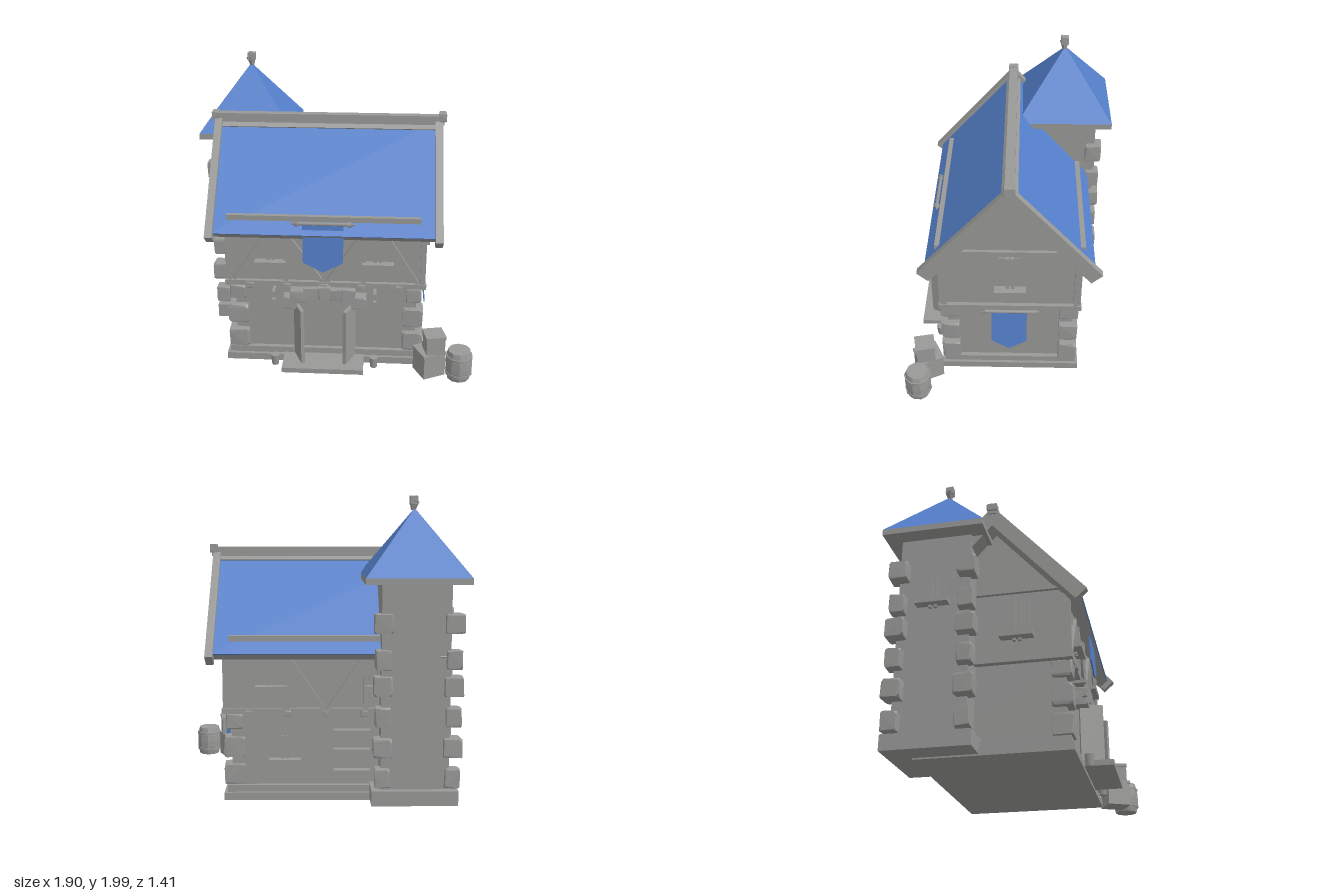
import * as THREE from 'three';
import { ConvexGeometry } from 'three/addons/geometries/ConvexGeometry.js';

export function createModel() {
  const root = new THREE.Group();
  root.name = 'house';
  const grey = new THREE.MeshStandardMaterial({ color: 0x999a98 });
  grey.name = 'stone grey';
  const blue = new THREE.MeshStandardMaterial({ color: 0x5580cc });
  blue.name = 'roof blue';

  let seed = 7;
  const rnd = () => (seed = (seed * 16807) % 2147483647) / 2147483647 - 0.5;

  const add = (name, geo, mat, x = 0, y = 0, z = 0, parent = root) => {
    const m = new THREE.Mesh(geo, mat);
    m.name = name;
    m.position.set(x, y, z);
    parent.add(m);
    return m;
  };
  // Box given by its limits
  const block = (name, x0, x1, y0, y1, z0, z1, mat = grey) =>
    add(name, new THREE.BoxGeometry(x1 - x0, y1 - y0, z1 - z0), mat, (x0 + x1) / 2, (y0 + y1) / 2, (z0 + z1) / 2);
  // Square timber running from a to b
  const beam = (name, a, b, w = 0.03, d = w) => {
    const p = new THREE.Vector3(...a), q = new THREE.Vector3(...b);
    const m = add(name, new THREE.BoxGeometry(w, p.distanceTo(q), d), grey);
    m.position.copy(p).add(q).multiplyScalar(0.5);
    m.quaternion.setFromUnitVectors(new THREE.Vector3(0, 1, 0), q.sub(p).normalize());
    return m;
  };
  // Irregular block with chipped corners
  const stone = (name, x, y, z, w, h, d) => {
    const pts = [];
    for (const sx of [-1, 1]) for (const sy of [-1, 1]) for (const sz of [-1, 1]) {
      const c = 0.72 + rnd() * 0.3;
      for (let k = 0; k < 3; k++) {
        const f = [0, 1, 2].map(i => (i === k ? c : 0.95 + rnd() * 0.12));
        pts.push(new THREE.Vector3(sx * f[0] * w / 2, sy * f[1] * h / 2, sz * f[2] * d / 2));
      }
    }
    return add(name, new ConvexGeometry(pts), grey, x, y, z);
  };

  // Plinths, walls and front step
  block('housePlinth', -0.73, 0.62, 0.01, 0.06, -0.5, 0.46);
  block('housePlinthTop', -0.71, 0.6, 0.06, 0.105, -0.48, 0.44);
  block('towerPlinth', -0.9, -0.34, 0.02, 0.12, -0.65, -0.1);
  block('groundFloor', -0.66, 0.57, 0.1, 0.6, -0.45, 0.41);
  block('upperFloor', -0.69, 0.6, 0.6, 1.08, -0.47, 0.43);
  block('tower', -0.84, -0.4, 0.1, 1.47, -0.61, -0.15);
  block('frontStep', -0.33, 0.22, 0.03, 0.065, 0.4, 0.64);

  // Gable triangles
  const tri = new THREE.Shape([[-0.45, 0], [0.45, 0], [0, 0.52]].map(p => new THREE.Vector2(...p)));
  const gable = new THREE.ExtrudeGeometry(tri, { depth: 1.29, bevelEnabled: false });
  add('gable', gable, grey, -0.69, 1.07, -0.02).rotation.y = Math.PI / 2;

  // Main roof slopes: slab, blue covering and barge boards
  const slope = Math.atan2(0.62, 0.55), len = Math.hypot(0.62, 0.55);
  for (const s of [1, -1]) {
    const g = new THREE.Group();
    g.name = s > 0 ? 'frontRoof' : 'backRoof';
    g.position.set(-0.05, 1.62, -0.02);
    g.rotation.y = s > 0 ? 0 : Math.PI;
    root.add(g);
    const tilt = new THREE.Group();
    tilt.rotation.x = slope;
    tilt.name = 'roofSlope';
    g.add(tilt);
    add('roofSlab', new THREE.BoxGeometry(1.48, 0.06, len), grey, 0, -0.038, len / 2, tilt);
    add('roofCovering', new THREE.BoxGeometry(1.48, 0.008, len), blue, 0, -0.004, len / 2, tilt);
    for (const x of [-0.745, 0.745])
      add('bargeBoard', new THREE.BoxGeometry(0.05, 0.095, len + 0.045), grey, x, -0.022, len / 2 + 0.015, tilt);
  }
  block('ridgeBeam', -0.83, 0.73, 1.6, 1.66, -0.05, 0.01);
  stone('ridgeEnd', -0.815, 1.645, -0.02, 0.05, 0.05, 0.07);
  stone('ridgeEnd', 0.72, 1.65, -0.02, 0.05, 0.06, 0.07);

  // Tower roof and finial
  block('towerEaves', -0.95, -0.29, 1.45, 1.49, -0.71, -0.05);
  const spire = new THREE.ConeGeometry(0.33 * Math.SQRT2, 0.43, 4, 1, true).toNonIndexed();
  spire.rotateY(Math.PI / 4);
  spire.computeVertexNormals();
  add('towerRoof', spire, blue, -0.62, 1.705, -0.38);
  const tip = new THREE.CylinderGeometry(0.035, 0.014, 0.06, 5).toNonIndexed();
  tip.computeVertexNormals();
  add('finial', tip, grey, -0.615, 1.935, -0.375).rotation.z = 0.15;
  stone('finialTop', -0.615, 1.97, -0.375, 0.055, 0.055, 0.055);

  // Corner stones
  for (const [x, z] of [[-0.85, -0.6], [-0.85, -0.16], [-0.4, -0.6]])
    [0.2, 0.4, 0.6, 0.8, 0.97, 1.2].forEach((y, i) => {
      const w = i % 2 ? 0.12 : 0.1;
      stone('towerQuoin', x - 0.01, y, z, w, 0.125, w);
    });
  for (const [x, z] of [[-0.64, 0.39], [0.55, 0.39], [0.55, -0.42]])
    [0.18, 0.365, 0.535].forEach((y, i) => stone('houseQuoin', x, y, z, i === 2 ? 0.11 : 0.14, i === 2 ? 0.1 : 0.135, 0.13));

  // Window: mullions, panel and sill; facing angle turns it about y
  const windowAt = (x, y, z, angle, h = 0.3) => {
    const g = new THREE.Group();
    g.name = 'window';
    g.position.set(x, y, z);
    g.rotation.y = angle;
    root.add(g);
    add('pane', new THREE.BoxGeometry(0.15, h - 0.07, 0.008), grey, 0, h / 2, 0, g);
    for (const s of [-0.017, 0.017]) add('mullion', new THREE.BoxGeometry(0.02, h, 0.03), grey, s, h / 2 - 0.03, 0.005, g);
    add('sill', new THREE.BoxGeometry(0.21, 0.03, 0.07), grey, 0, 0, 0.025, g);
  };
  windowAt(0.605, 0.765, -0.02, Math.PI / 2);
  windowAt(-0.695, 0.765, 0.12, -Math.PI / 2);
  windowAt(-0.845, 0.97, -0.38, -Math.PI / 2, 0.2);
  windowAt(0.22, 0.27, -0.45, Math.PI, 0.2);

  // Timber frame on front and back walls
  for (const [z, out] of [[0.44, 0], [-0.48, Math.PI]]) {
    beam('lowerRail', [-0.72, 0.61, z], [0.63, 0.61, z], 0.035);
    beam('wallPlate', [-0.69, 1.09, z + (out ? -0.01 : 0.01)], [0.58, 1.09, z + (out ? -0.01 : 0.01)], 0.035);
    for (const x of [-0.69, -0.31, -0.05, 0.21, 0.6]) beam('post', [x, 0.61, z], [x, 1.03, z], 0.028);
    for (const [x0, x1] of [[-0.66, -0.41], [-0.07, -0.32], [-0.03, 0.22], [0.57, 0.34]])
      beam('brace', [x0, 0.63, z], [x1, 1.0, z], 0.026);
    for (const x of [-0.41, 0.305]) windowAt(x, 0.765, z - (out ? -0.01 : 0.01), out, 0.28);
    for (const x of [-0.55, -0.3, -0.05, 0.2, 0.45]) stone('joistEnd', x, 0.595, z, 0.05, 0.04, 0.06);
  }

  // Timber frame on the gable walls
  for (const x of [0.61, -0.7]) {
    beam('gableRail', [x, 0.61, -0.5], [x, 0.61, 0.46], 0.035);
    beam('gablePlate', [x, 1.08, -0.49], [x, 1.08, 0.44], 0.025);
    for (const z of [-0.46, 0.42]) beam('gablePost', [x, 0.6, z], [x, 1.08, z], 0.028);
    for (const s of [-1, 1]) beam('gableRafter', [x, 1.1, -0.02 + s * 0.42], [x, 1.58, -0.02], 0.03);
  }

  // Door arch and open door leaves
  for (const [x, y, w] of [[-0.28, 0.48, 0.1], [-0.23, 0.53, 0.1], [-0.14, 0.55, 0.1], [-0.05, 0.56, 0.09], [0.03, 0.55, 0.08], [0.11, 0.55, 0.1], [0.18, 0.49, 0.11]])
    stone('archStone', x, y, 0.44, w, 0.09, 0.11);
  for (const [x0, x1] of [[-0.25, -0.19], [0.15, 0.09]]) {
    const dx = x1 - x0, dz = 0.14;
    const leaf = add('doorLeaf', new THREE.BoxGeometry(0.025, 0.4, Math.hypot(dx, dz)), grey, (x0 + x1) / 2, 0.265, 0.5);
    leaf.rotation.y = Math.atan2(dx, dz);
  }

  // Lamps and pots beside the door
  for (const x of [-0.39, 0.29]) {
    beam('lampArm', [x, 0.56, 0.4], [x, 0.56, 0.5], 0.02);
    block('lamp', x - 0.013, x + 0.013, 0.46, 0.51, 0.47, 0.5);
    add('pot', new THREE.CylinderGeometry(0.031, 0.023, 0.075, 8), grey, x, 0.046, 0.5);
  }

  // Ladder-like shelf boards on the back wall
  for (const y of [0.2, 0.34, 0.47]) block('backBoard', -0.34, -0.1, y - 0.013, y + 0.013, -0.5, -0.44);

  // Hanging banners with poles
  const banner = (name, w, h, x, y, z, turn, lean, pole) => {
    const g = new THREE.Group();
    g.name = name;
    g.position.set(x, y, z);
    g.rotation.y = turn;
    root.add(g);
    const s = new THREE.Shape([[-w, 0], [-w, -h + 0.07], [0, -h], [w, -h + 0.07], [w, 0]].map(p => new THREE.Vector2(...p)));
    const cloth = new THREE.ExtrudeGeometry(s, { depth: 0.008, bevelEnabled: false });
    add('bannerCloth', cloth, blue, 0, 0, 0, g).rotation.x = lean;
    const rod = new THREE.CylinderGeometry(0.012, 0.012, pole, 6).rotateZ(Math.PI / 2);
    add('bannerPole', rod, grey, 0, 0.01, 0, g);
    for (const e of [-1, 1])
      add('poleTip', new THREE.ConeGeometry(0.024, 0.045, 5).rotateZ(-e * Math.PI / 2), grey, e * pole / 2, 0.01, 0, g);
  };
  banner('frontBanner', 0.133, 0.33, -0.055, 1.06, 0.495, 0, -0.04, 0.38);
  banner('sideBanner', 0.12, 0.31, 0.615, 0.55, -0.015, Math.PI / 2, -0.1, 0.37);

  // Crates and barrel
  const crate = (x, y, z, s, h, turn) => {
    const g = new THREE.Group();
    g.name = 'crate';
    g.position.set(x, y, z);
    g.rotation.y = turn;
    root.add(g);
    add('crateBox', new THREE.BoxGeometry(s, h, s), grey, 0, 0, 0, g);
    add('crateLid', new THREE.BoxGeometry(s + 0.01, 0.02, s + 0.01), grey, 0, h / 2 - 0.01, 0, g);
  };
  crate(0.665, 0.108, 0.55, 0.16, 0.175, 0.45);
  crate(0.69, 0.262, 0.565, 0.125, 0.13, 0.2);
  const profile = [[0, 0], [0.075, 0], [0.088, 0.06], [0.09, 0.105], [0.088, 0.15], [0.075, 0.21], [0, 0.21]];
  const cask = new THREE.LatheGeometry(profile.map(p => new THREE.Vector2(...p)), 10).toNonIndexed();
  cask.computeVertexNormals();
  add('barrel', cask, grey, 0.86, 0.02, 0.605);
  for (const y of [0.065, 0.185]) add('barrelHoop', new THREE.CylinderGeometry(0.091, 0.091, 0.018, 10), grey, 0.86, y, 0.605);

  return root;
}
